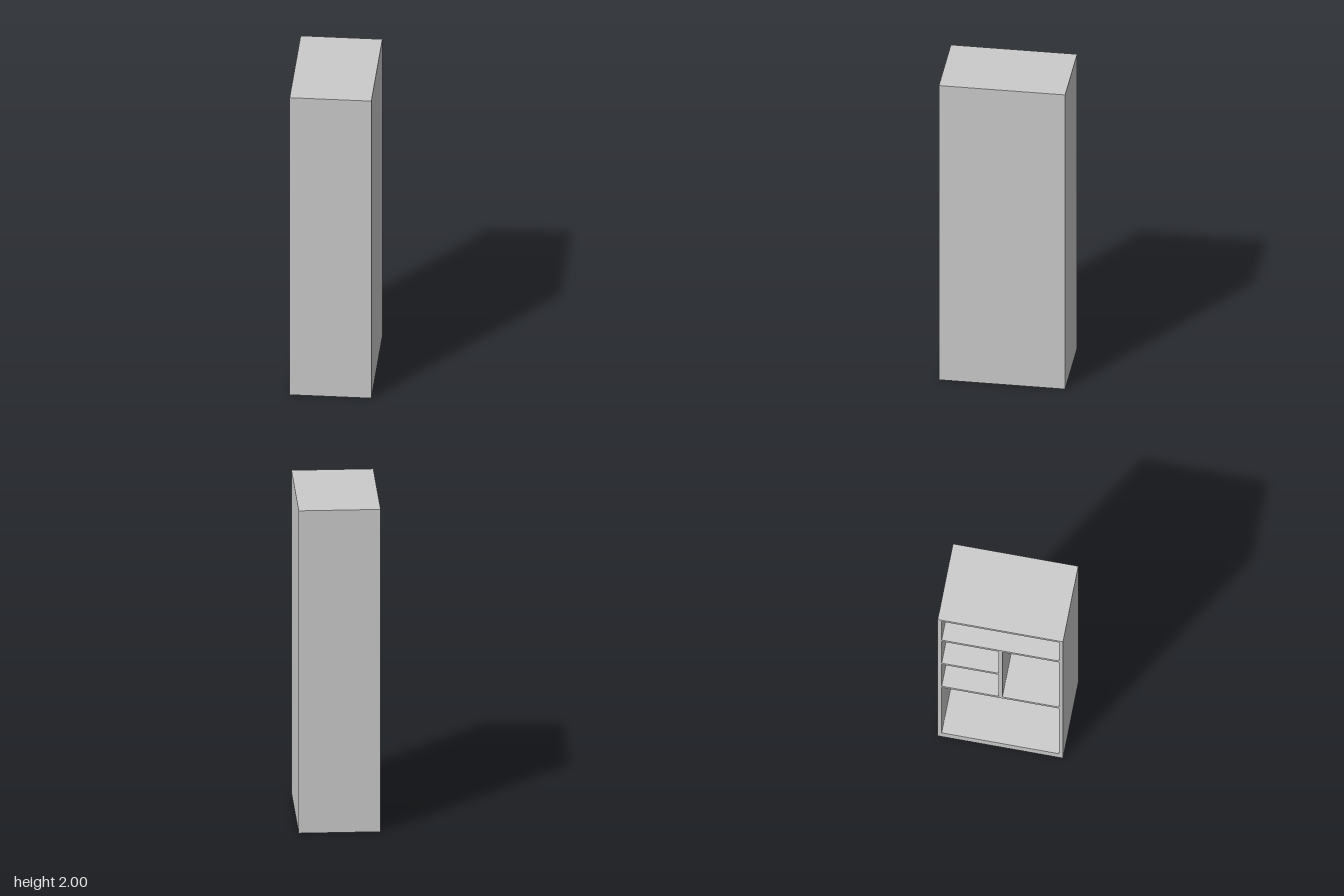
import * as THREE from 'three';

export function createModel() {
  const group = new THREE.Group();
  group.name = 'bookcase';
  const material = new THREE.MeshStandardMaterial({ color: 0xcccccc });

  const X = 0.241, Z = 0.375, H = 2; // half width, half depth, height
  const t = 0.024; // board thickness
  const base = 0.064; // floor thickness

  // A board given by its lower and upper limits on each axis
  function board(name, x0, x1, y0, y1, z0, z1) {
    const mesh = new THREE.Mesh(new THREE.BoxGeometry(x1 - x0, y1 - y0, z1 - z0), material);
    mesh.position.set((x0 + x1) / 2, (y0 + y1) / 2, (z0 + z1) / 2);
    mesh.name = name;
    group.add(mesh);
  }

  // Closed carcass, open only towards -x
  board('frontWall', -X, X, 0, H, Z - t, Z);
  board('rearWall', -X, X, 0, H, -Z, -Z + t);
  board('closedSide', X - t, X, 0, H, -Z + t, Z - t);

  // Everything inside runs from the open side to the closed side
  const inner = (name, y0, y1, z0 = -Z + t, z1 = Z - t) => board(name, -X, X - t, y0, y1, z0, z1);
  const lower = 0.866, middle = 1.262, upper = 1.658; // shelf tops
  inner('floor', 0, base);
  inner('topPanel', H - t, H);
  inner('lowerShelf', lower - t, lower);
  inner('upperShelf', upper - t, upper);
  inner('divider', lower, upper - t, -t / 2, t / 2);
  inner('halfShelf', middle - t, middle, -Z + t, -t / 2);

  return group;
}
